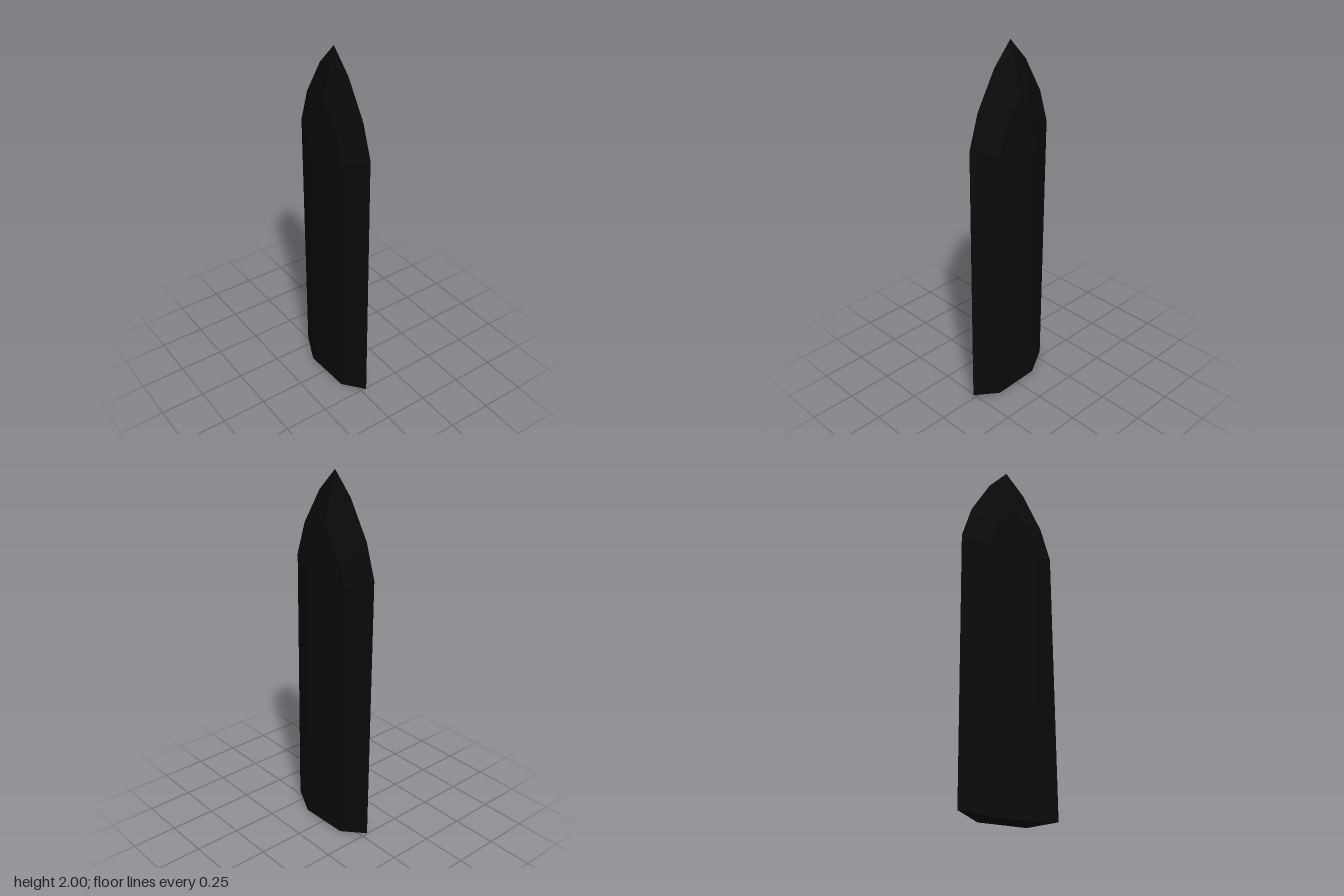
import * as THREE from 'three';

// Right half of an outline, bottom to tip, mirrored into a counter-clockwise loop
function outline(half, z) {
  const right = half.map(([x, y]) => [x, y, z]);
  const left = half.filter(([x]) => x > 0).map(([x, y]) => [-x, y, z]).reverse();
  return [...right, ...left];
}

function bladeGeometry() {
  const flat = [[0.137, 0], [0.137, 1.46], [0.111, 1.57], [0.055, 1.67], [0, 1.74]];
  const rim = outline([[0.28, 0.03], [0.28, 1.51], [0.223, 1.69], [0.11, 1.882], [0, 2]], 0);
  const front = outline(flat, 0.068);
  const back = outline(flat, -0.068);
  const n = rim.length;
  const pos = [];
  const tri = (a, b, c) => pos.push(...a, ...b, ...c);

  for (let i = 0; i < n; i++) {
    const j = (i + 1) % n;
    // bevels from the sharp rim to each flat, including the notched base
    tri(rim[i], rim[j], front[j]);
    tri(rim[i], front[j], front[i]);
    tri(rim[j], rim[i], back[i]);
    tri(rim[j], back[i], back[j]);
    // flat faces
    if (i > 0 && i < n - 1) {
      tri(front[0], front[i], front[j]);
      tri(back[0], back[j], back[i]);
    }
  }
  const geometry = new THREE.BufferGeometry();
  geometry.setAttribute('position', new THREE.Float32BufferAttribute(pos, 3));
  geometry.computeVertexNormals();
  return geometry;
}

export function createModel() {
  const black = new THREE.MeshStandardMaterial({ color: 0x0b0b0b });
  black.name = 'black';
  black.flatShading = true;

  const blade = new THREE.Mesh(bladeGeometry(), black);
  blade.name = 'blade';
  // slight lean and twist
  blade.rotation.set(0, 0.035, 0.01);
  blade.position.set(0.005, 0.001, 0);

  const group = new THREE.Group();
  group.name = 'bladeShard';
  group.add(blade);
  return group;
}
